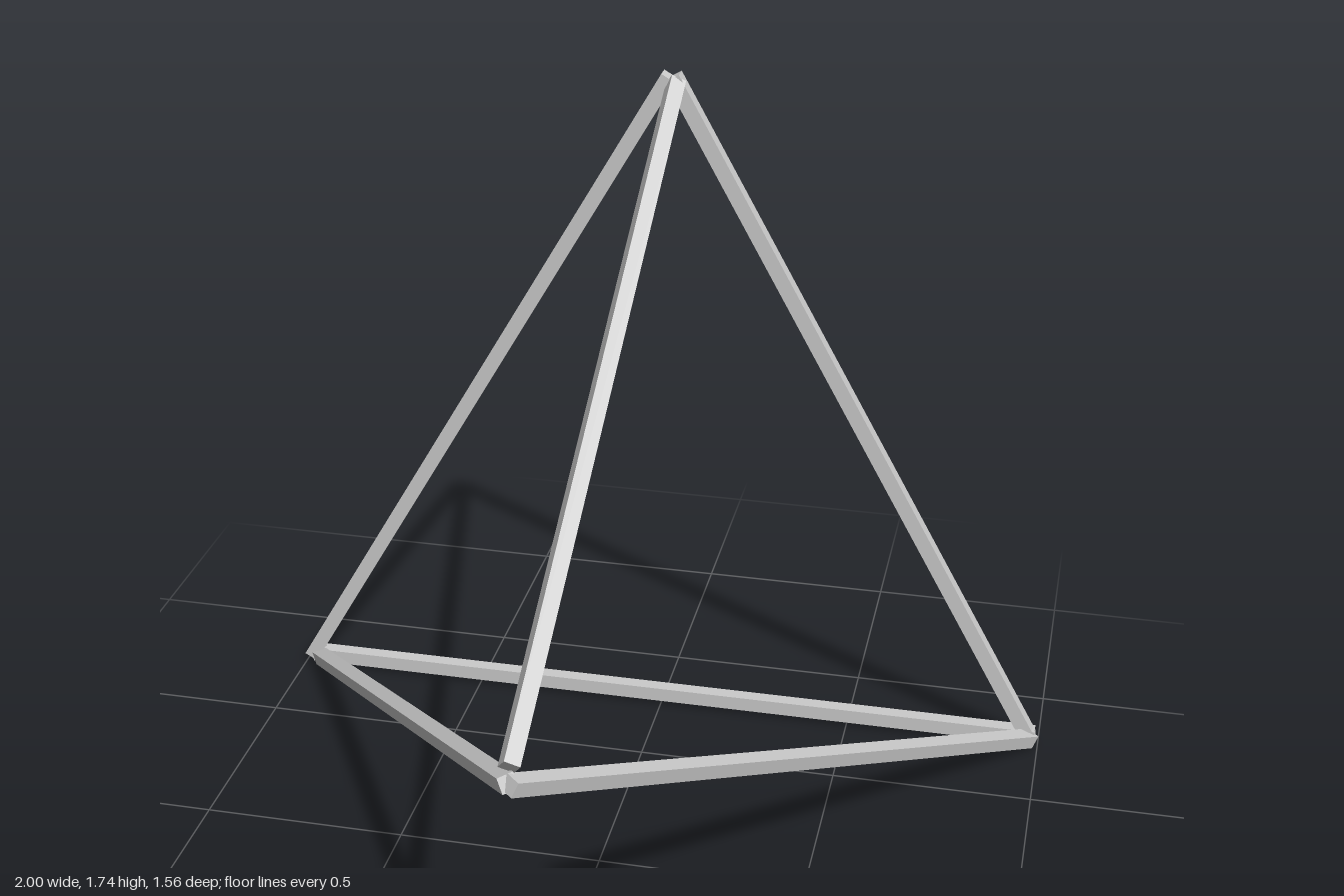
import * as THREE from 'three';

const WIDTH = 0.037;

export function createModel() {
  const group = new THREE.Group();
  group.name = 'tetrahedronFrame';
  const material = new THREE.MeshStandardMaterial({ color: 0xcccccc, flatShading: true });

  // Square bar between two points; one side face turns towards `facing`,
  // then rolls about the bar's axis by `roll` degrees.
  function addBar(name, from, to, facing, roll = 0) {
    const a = new THREE.Vector3(...from);
    const b = new THREE.Vector3(...to);
    const axis = b.clone().sub(a);
    const length = axis.length();
    axis.normalize();
    const out = new THREE.Vector3(...facing);
    out.addScaledVector(axis, -out.dot(axis)).normalize();
    out.applyAxisAngle(axis, THREE.MathUtils.degToRad(roll));
    const across = new THREE.Vector3().crossVectors(axis, out);

    const bar = new THREE.Mesh(new THREE.BoxGeometry(WIDTH, WIDTH, length), material);
    bar.name = name;
    bar.quaternion.setFromRotationMatrix(new THREE.Matrix4().makeBasis(out, across, axis));
    bar.position.addVectors(a, b).multiplyScalar(0.5);
    group.add(bar);
  }

  // Upright triangle at the back
  addBar('backBottomBar', [-0.975, 0.036, -0.762], [0.99, 0.036, -0.762], [0, 0, 1]);
  addBar('backRightBar', [-0.982, 0.028, -0.762], [-0.002, 1.732, -0.762], [0, 0, 1]);
  addBar('backLeftBar', [0.008, 1.732, -0.762], [0.976, 0.03, -0.762], [0, 0, 1]);

  // Three bars meeting at the front point
  addBar('upperFrontBar', [0.015, 1.72, -0.757], [-0.018, 0.743, 0.747], [1, 0, 0], -30);
  addBar('lowerLeftBar', [0.98, 0.027, -0.757], [-0.012, 0.714, 0.77], [0.845, 0, 0.535], -13);
  addBar('lowerRightBar', [-0.96, 0.027, -0.757], [-0.017, 0.714, 0.762], [-0.845, 0, 0.535], 13);

  return group;
}
